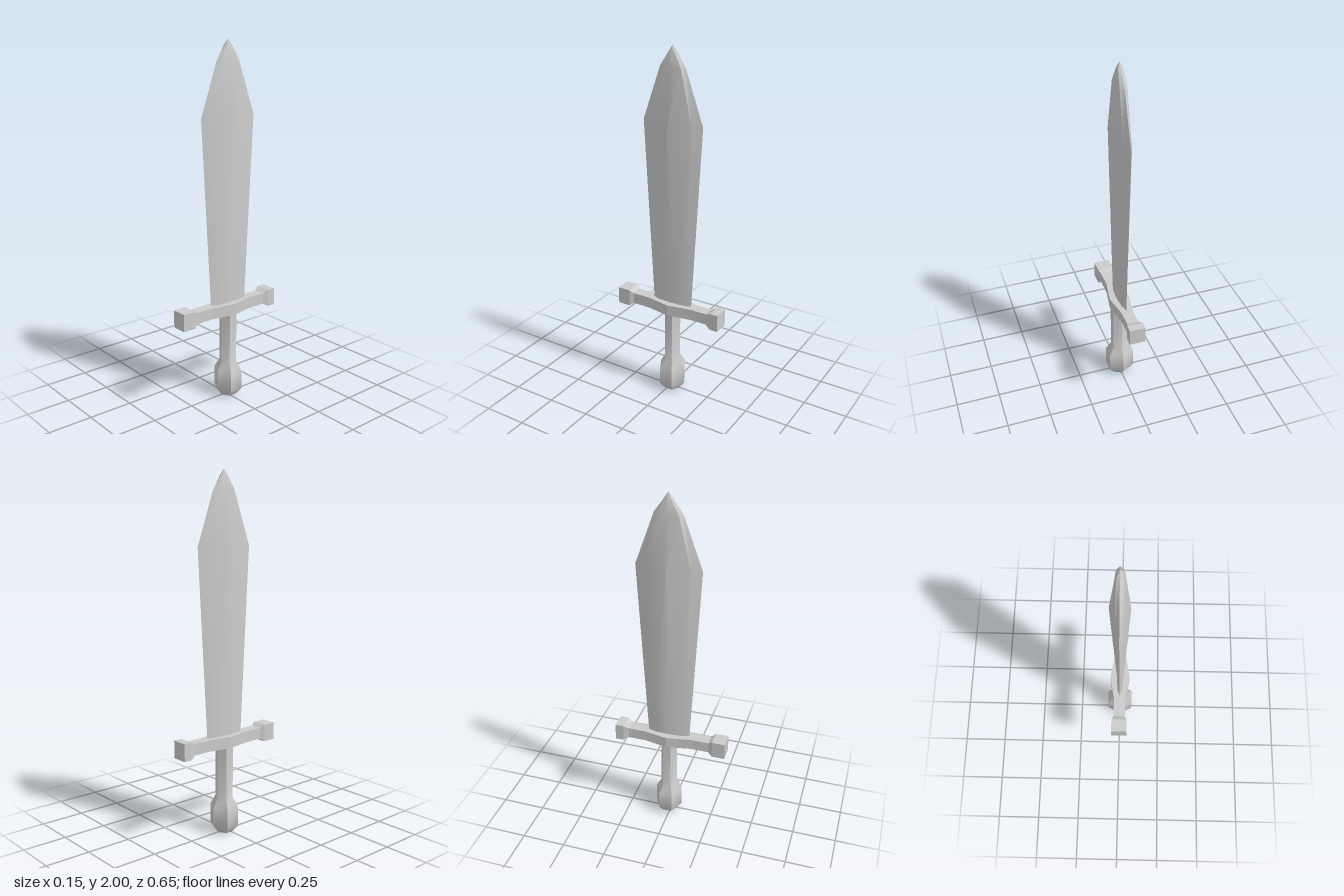
import * as THREE from 'three';
import { toCreasedNormals } from 'three/addons/utils/BufferGeometryUtils.js';

const MID = -0.014; // z of the blade and grip axis

// Closed skin through equal-length rings of [x, y, z], capped at both ends.
// Rings run counter-clockwise about the sweep direction.
function loft(name, rings, tip, crease = 0.5) {
  const pos = [];
  const n = rings[0].length;
  const centre = (ring) => [0, 1, 2].map((k) => ring.reduce((s, p) => s + p[k], 0) / n);
  const first = rings[0], last = rings[rings.length - 1];
  const start = centre(first), end = tip || centre(last);
  for (let i = 0; i < n; i++) {
    const j = (i + 1) % n;
    pos.push(...start, ...first[j], ...first[i], ...end, ...last[i], ...last[j]);
    for (let r = 0; r + 1 < rings.length; r++) {
      const a = rings[r], b = rings[r + 1];
      pos.push(...a[i], ...a[j], ...b[j], ...a[i], ...b[j], ...b[i]);
    }
  }
  const geo = new THREE.BufferGeometry();
  geo.setAttribute('position', new THREE.Float32BufferAttribute(pos, 3));
  const mesh = new THREE.Mesh(
    toCreasedNormals(geo, crease),
    new THREE.MeshStandardMaterial({ color: 0xcccccc }),
  );
  mesh.name = name;
  return mesh;
}

// Blade section: thin lens with a ridge on each side and bevelled edges
function bladeRing([y, ridge, bevelX, bevelZ, edge]) {
  return [
    [0, edge], [bevelX, bevelZ], [ridge, 0], [bevelX, -bevelZ],
    [0, -edge], [-bevelX, -bevelZ], [-ridge, 0], [-bevelX, bevelZ],
  ].map(([x, z]) => [x, y, MID + z]);
}

// Six-sided grip section with corners to the front and back
function gripRing([y, r]) {
  return Array.from({ length: 6 }, (_, i) => {
    const t = (i * Math.PI) / 3;
    return [1.1 * r * Math.sin(t), y, MID + r * Math.cos(t)];
  });
}

// Rectangular guard section
function guardRing([z, w, h]) {
  const y = 0.53;
  return [[w, y + h, z], [-w, y + h, z], [-w, y - h, z], [w, y - h, z]];
}

export function createModel() {
  const group = new THREE.Group();
  group.name = 'shortSword';

  // Leaf-shaped blade: y, ridge x, bevel x, bevel z, edge z
  group.add(loft('blade', [
    [0.55, 0.018, 0.013, 0.08, 0.121],
    [1.6, 0.054, 0.022, 0.125, 0.18],
    [1.89, 0.027, 0.02, 0.058, 0.076],
    [1.97, 0.018, 0.013, 0.015, 0.02],
  ].map(bladeRing), [0, 2, MID]));

  // Cross guard: z, half width, half height
  group.add(loft('guard', [
    [-0.327, 0.045, 0.049],
    [-0.28, 0.045, 0.049],
    [-0.25, 0.033, 0.032],
    [-0.15, 0.033, 0.032],
    [MID, 0.058, 0.032],
    [0.125, 0.033, 0.032],
    [0.23, 0.033, 0.032],
    [0.253, 0.045, 0.049],
    [0.327, 0.045, 0.049],
  ].map(guardRing), null, 0.3));

  // Grip flaring into the pommel: y, radius
  group.add(loft('gripAndPommel', [
    [0, 0.046],
    [0.042, 0.078],
    [0.15, 0.078],
    [0.205, 0.048],
    [0.51, 0.048],
  ].map(gripRing), null, 0.7));

  return group;
}
